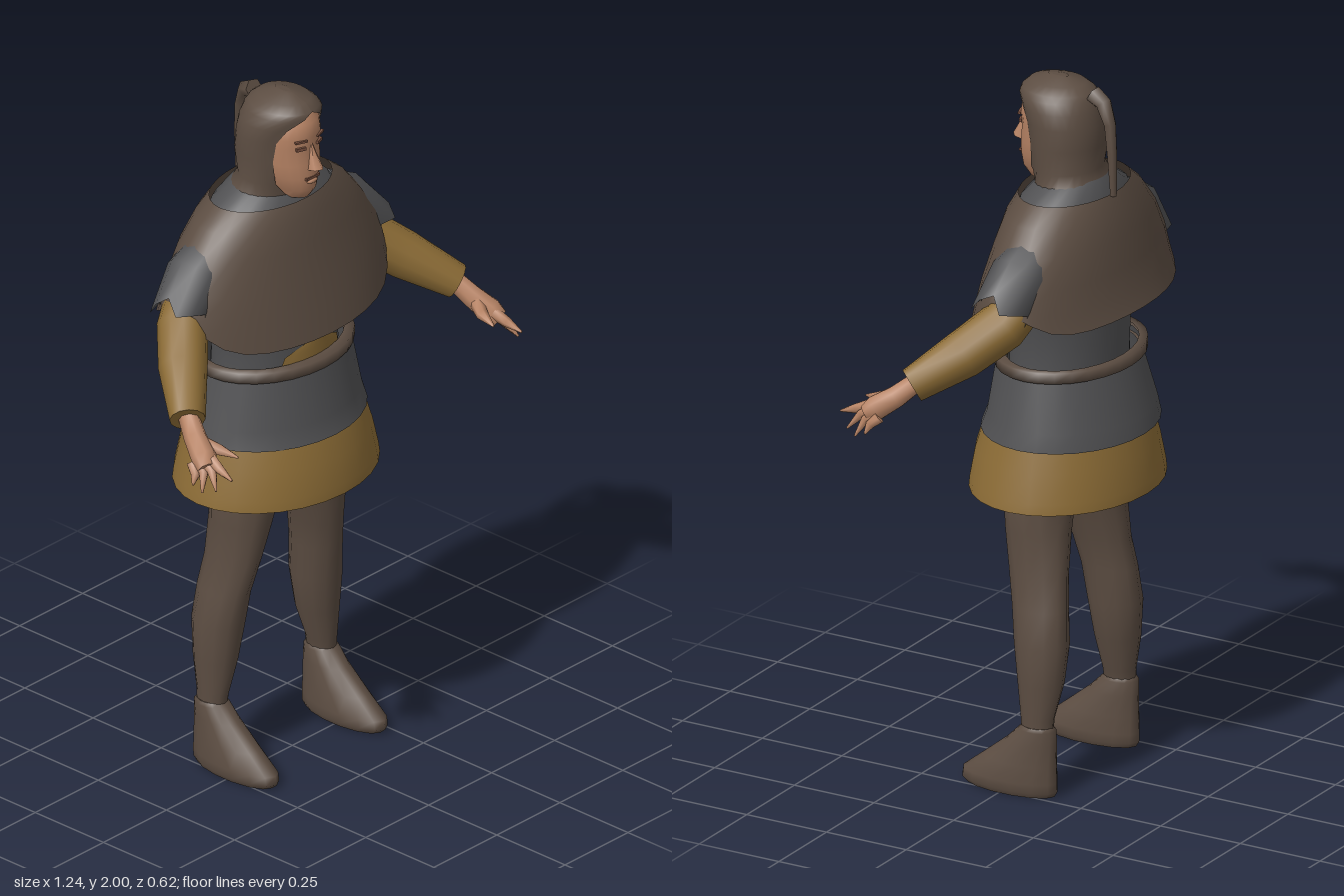
import * as THREE from 'three';

const mat = (name, color) => {
  const m = new THREE.MeshStandardMaterial({ color, side: THREE.DoubleSide });
  m.name = name;
  return m;
};

// Surface through a list of point rings (ordered so the outside faces out)
function skin(rings, closed = true, capStart = false, capEnd = false) {
  const n = rings[0].length, pos = [], idx = [];
  rings.forEach(r => r.forEach(p => pos.push(p.x, p.y, p.z)));
  const cols = closed ? n : n - 1;
  for (let i = 0; i < rings.length - 1; i++) {
    for (let j = 0; j < cols; j++) {
      const k = (j + 1) % n, a = i * n + j, b = i * n + k;
      idx.push(a, b, b + n, a, b + n, a + n);
    }
  }
  const cap = (ring, flip) => {
    const c = ring.reduce((s, p) => s.add(p), new THREE.Vector3()).divideScalar(n);
    const base = pos.length / 3;
    ring.forEach(p => pos.push(p.x, p.y, p.z));
    pos.push(c.x, c.y, c.z);
    for (let j = 0; j < n; j++) {
      const a = base + j, b = base + (j + 1) % n;
      if (flip) idx.push(b, a, base + n); else idx.push(a, b, base + n);
    }
  };
  if (capStart) cap(rings[0], true);
  if (capEnd) cap(rings[rings.length - 1], false);
  const g = new THREE.BufferGeometry();
  g.setAttribute('position', new THREE.Float32BufferAttribute(pos, 3));
  g.setIndex(idx);
  g.computeVertexNormals();
  return g;
}

// Upright form. Row: [y, zFront, zBack, halfWidth, gap, liftBack, liftSide, xCentre]
function upright(rows, { sides = 24, open = false, capStart = false, capEnd = false } = {}) {
  const rings = rows.map(([y, f, b, rx, gap = 0, back = 0, side = 0, cx = 0]) => {
    const ring = [];
    for (let j = 0; j < sides; j++) {
      const t = gap + (2 * Math.PI - 2 * gap) * j / (open ? sides - 1 : sides);
      ring.push(new THREE.Vector3(
        cx + rx * Math.sin(t),
        y + back * (1 - Math.cos(t)) / 2 + side * Math.sin(t) ** 8,
        (f + b) / 2 + (f - b) / 2 * Math.cos(t)));
    }
    return ring;
  });
  return skin(rings, !open, capStart, capEnd);
}

// Limb along points [x, y, z, radius]; rag makes the last edge uneven
function limb(points, sides = 10, rag = 0) {
  const P = points.map(p => new THREE.Vector3(p[0], p[1], p[2]));
  const rings = P.map((p, i) => {
    const d = P[Math.min(i + 1, P.length - 1)].clone().sub(P[Math.max(i - 1, 0)]).normalize();
    const u = new THREE.Vector3(0, 0, 1).addScaledVector(d, -d.z).normalize();
    const v = d.clone().cross(u);
    return Array.from({ length: sides }, (_, j) => {
      const t = j / sides * Math.PI * 2, r = points[i][3];
      const q = p.clone().addScaledVector(u, r * Math.cos(t)).addScaledVector(v, r * Math.sin(t));
      if (i === P.length - 1) q.addScaledVector(d, rag * (j % 3 - 1));
      return q;
    });
  });
  return skin(rings, true, true, rag === 0);
}

export function createModel() {
  const brown = mat('brown cloth', 0x5c4d42);
  const grey = mat('grey cloth', 0x515153);
  const gold = mat('ochre cloth', 0x8c6c36);
  const flesh = mat('skin', 0xb88465);
  const dark = mat('face lines', 0x7a5140);

  const root = new THREE.Group();
  root.name = 'hoodedFigure';
  const add = (name, geo, material, x = 0, y = 0, z = 0) => {
    const m = new THREE.Mesh(geo, material);
    m.name = name;
    m.position.set(x, y, z);
    root.add(m);
    return m;
  };

  // Head
  add('head', upright([
    [1.64, 0, -0.14, 0.06], [1.69, 0.01, -0.14, 0.055], [1.70, 0.055, -0.13, 0.042],
    [1.73, 0.074, -0.13, 0.062], [1.77, 0.077, -0.13, 0.078], [1.81, 0.075, -0.14, 0.088],
    [1.86, 0.07, -0.14, 0.092], [1.89, 0.075, -0.14, 0.092], [1.93, 0.07, -0.14, 0.088],
    [1.96, 0.045, -0.12, 0.06],
  ], { capEnd: true }), flesh);
  const nose = new THREE.ConeGeometry(0.019, 0.085, 6);
  nose.scale(1, 1, 1.4);
  add('nose', nose, flesh, 0, 1.838, 0.076).rotation.x = -0.22;
  add('mouth', new THREE.BoxGeometry(0.052, 0.007, 0.008), dark, 0, 1.768, 0.074);
  add('lowerLip', new THREE.SphereGeometry(0.02, 10, 6).scale(1, 0.4, 0.5), flesh, 0, 1.757, 0.072);
  for (const s of [1, -1]) {
    const eye = add('eye', new THREE.BoxGeometry(0.028, 0.009, 0.008), dark, s * 0.036, 1.862, 0.065);
    eye.rotation.y = s * 0.35;
    const brow = add('brow', new THREE.BoxGeometry(0.036, 0.006, 0.008), dark, s * 0.037, 1.885, 0.067);
    brow.rotation.y = s * 0.35;
  }

  // Hood with an open face and a hanging tail
  add('hood', upright([
    [1.67, 0.02, -0.205, 0.15], [1.71, 0.02, -0.18, 0.125, 0.35], [1.75, 0.035, -0.155, 0.112, 0.75],
    [1.82, 0.04, -0.168, 0.116, 0.82], [1.88, 0.05, -0.162, 0.116, 0.8], [1.92, 0.065, -0.155, 0.112, 0.65],
    [1.95, 0.077, -0.145, 0.1, 0.3], [1.965, 0.072, -0.135, 0.088, 0], [1.985, 0.05, -0.11, 0.064, 0],
    [2.0, 0, -0.06, 0.015, 0],
  ], { sides: 25, open: true }), brown);
  add('hoodCrown', upright([[1.996, 0.01, -0.07, 0.025], [2.0, -0.01, -0.05, 0.01]],
    { capEnd: true }), brown);
  add('hoodTail', limb([
    [0, 1.96, -0.14, 0.028], [0.005, 1.945, -0.175, 0.024], [0.01, 1.89, -0.198, 0.018],
    [0.015, 1.8, -0.208, 0.015], [0.02, 1.69, -0.215, 0.01],
  ], 6), brown);

  // Shoulder cape, hem raised over the arms
  add('cape', upright([
    [1.32, 0.15, -0.30, 0.39, 0, 0.06, 0.10], [1.40, 0.13, -0.28, 0.383, 0, 0.03, 0.06],
    [1.48, 0.11, -0.265, 0.365, 0, 0.02, 0.035], [1.58, 0.085, -0.25, 0.32],
    [1.65, 0.07, -0.23, 0.26], [1.695, 0.05, -0.21, 0.20],
  ], { sides: 32 }), brown);

  // Tunic body and collar
  add('tunicBody', upright([
    [1.05, 0.08, -0.22, 0.2], [1.22, 0.085, -0.215, 0.195], [1.35, 0.08, -0.22, 0.2],
    [1.5, 0.08, -0.22, 0.25], [1.62, 0.06, -0.21, 0.235], [1.675, 0.045, -0.205, 0.195],
    [1.73, 0, -0.17, 0.1],
  ]), grey);
  add('shirtPatch', upright([
    [1.2, 0.09, -0.22, 0.2, 2.5], [1.25, 0.09, -0.22, 0.2, 2.6], [1.28, 0.088, -0.22, 0.2, 3.0],
  ].map(([y, f, b, rx, g]) => [y, b, f, -rx, g]), { sides: 8, open: true }), gold);

  // Belt and the two skirts
  add('belt', upright([
    [1.2, 0.09, -0.235, 0.225], [1.2, 0.12, -0.26, 0.25],
    [1.23, 0.12, -0.26, 0.25], [1.23, 0.09, -0.235, 0.225],
  ], { sides: 28 }), brown);
  add('tunicSkirt', upright([
    [1.01, 0.16, -0.30, 0.28], [1.06, 0.14, -0.288, 0.27], [1.22, 0.115, -0.24, 0.232],
  ], { sides: 28 }), grey);
  add('shirtSkirt', upright([
    [0.84, 0.19, -0.31, 0.312], [0.87, 0.188, -0.308, 0.307],
    [0.95, 0.175, -0.295, 0.287], [1.03, 0.15, -0.275, 0.265],
  ], { sides: 28 }), gold);

  for (const s of [1, -1]) {
    const side = s > 0 ? 'left' : 'right';
    const flip = pts => pts.map(([x, ...rest]) => [s * x, ...rest]);

    // Arm: ragged short sleeve over a long sleeve
    add(side + 'ShortSleeve', limb(flip([
      [0.2, 1.58, -0.09, 0.07], [0.29, 1.52, -0.085, 0.085], [0.372, 1.435, -0.07, 0.078],
    ]), 12, 0.022), grey);
    add(side + 'LongSleeve', limb(flip([
      [0.3, 1.46, -0.1, 0.065], [0.36, 1.4, -0.07, 0.07], [0.44, 1.33, 0.005, 0.067],
      [0.535, 1.25, 0.11, 0.049],
    ]), 12), gold);

    // Hand with tapering fingers
    add(side + 'Palm', limb(flip([
      [0.525, 1.26, 0.1, 0.028], [0.548, 1.215, 0.15, 0.032], [0.568, 1.18, 0.2, 0.036],
      [0.58, 1.16, 0.225, 0.027],
    ]), 8), flesh);
    const tips = [[0.575, 1.15, 0.31], [0.6, 1.115, 0.275], [0.618, 1.105, 0.24], [0.62, 1.118, 0.208]];
    tips.forEach((tip, i) => add(side + 'Finger', limb(flip([
      [0.563 + i * 0.009, 1.18 - i * 0.006, 0.222 - i * 0.014, 0.018],
      [0.57 + i * 0.011, 1.165 - i * 0.008, 0.262 - i * 0.02, 0.014], [...tip, 0.003],
    ]), 6), flesh));
    add(side + 'Thumb', limb(flip([
      [0.55, 1.21, 0.16, 0.022], [0.522, 1.19, 0.215, 0.017], [0.507, 1.18, 0.27, 0.003],
    ]), 6), flesh);

    // Leg. Row: [y, zFront, zBack, halfWidth, ..., xCentre]
    const row = (y, f, b, x0, x1) => [y, f, b, (x1 - x0) / 2, 0, 0, 0, s * (x0 + x1) / 2];
    add(side + 'Leg', upright([
      row(0.17, -0.05, -0.14, 0.185, 0.252), row(0.22, -0.045, -0.142, 0.178, 0.252),
      row(0.32, -0.03, -0.162, 0.145, 0.258), row(0.43, -0.015, -0.172, 0.126, 0.26),
      row(0.53, 0.0, -0.165, 0.122, 0.242), row(0.62, 0.02, -0.155, 0.105, 0.224),
      row(0.74, 0.04, -0.15, 0.07, 0.222), row(0.84, 0.05, -0.15, 0.035, 0.225),
      row(1.02, 0.05, -0.17, -0.005, 0.2),
    ], { sides: 12 }), brown);

    // Shoe
    add(side + 'Shoe', upright([
      row(0, 0.125, -0.145, 0.165, 0.265), row(0.015, 0.142, -0.155, 0.157, 0.274),
      row(0.04, 0.138, -0.155, 0.156, 0.276), row(0.09, 0.075, -0.152, 0.162, 0.27),
      row(0.15, 0, -0.15, 0.17, 0.262), row(0.19, -0.04, -0.148, 0.175, 0.26),
      row(0.2, -0.052, -0.14, 0.183, 0.254),
    ], { sides: 14, capStart: true, capEnd: true }), brown);
  }
  return root;
}
